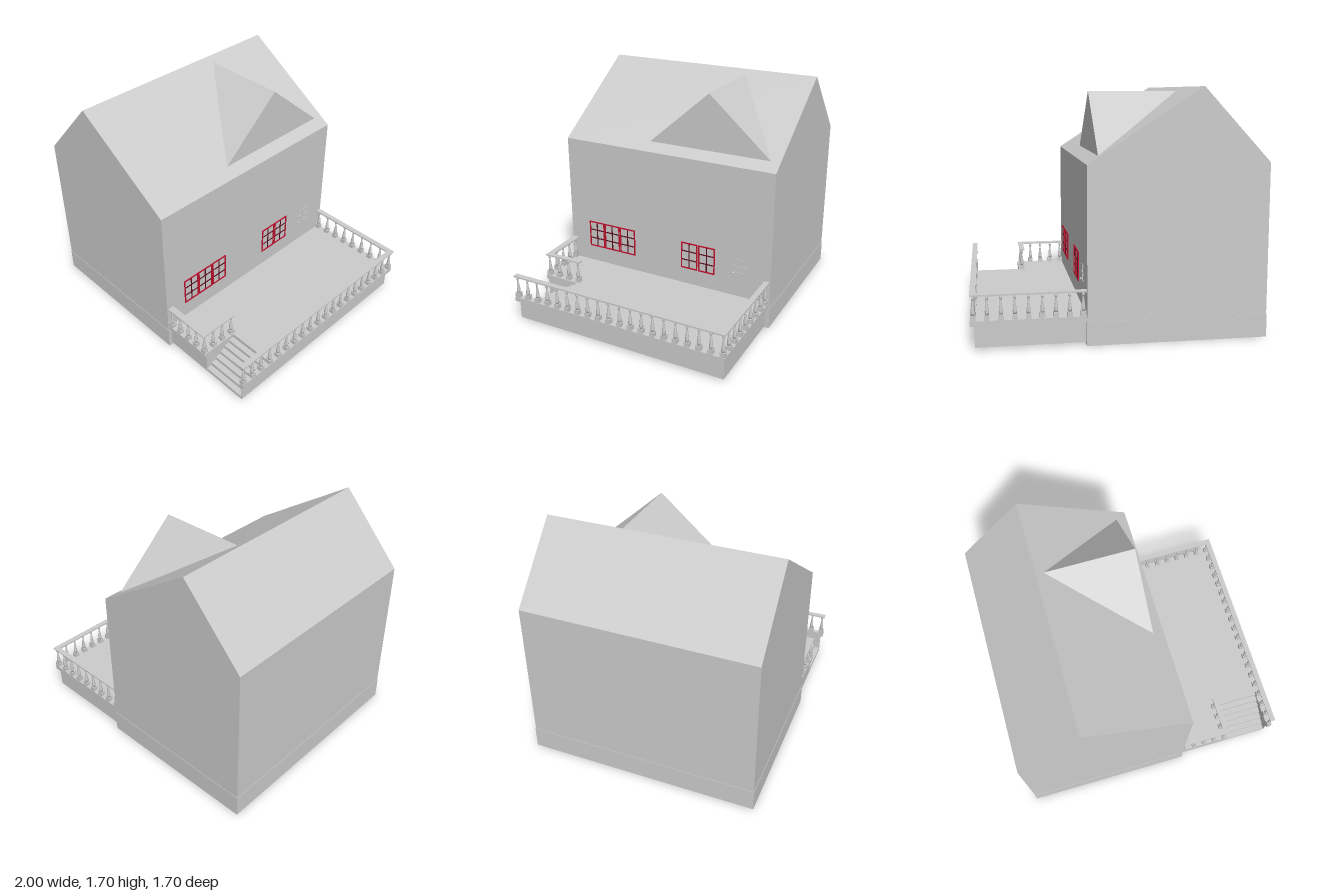
import * as THREE from 'three';
import { ConvexGeometry } from 'three/addons/geometries/ConvexGeometry.js';

const grey = new THREE.MeshStandardMaterial({ color: 0xcccccc, side: THREE.DoubleSide });
const red = new THREE.MeshStandardMaterial({ color: 0xc4102f });
const darkRed = new THREE.MeshStandardMaterial({ color: 0x5c0f20 });

function add(parent, name, geometry, material = grey) {
  const mesh = new THREE.Mesh(geometry, material);
  mesh.name = name;
  parent.add(mesh);
  return mesh;
}

// Box given by its minimum and maximum on each axis
function box(parent, name, [x0, x1], [y0, y1], [z0, z1], material) {
  const mesh = add(parent, name, new THREE.BoxGeometry(x1 - x0, y1 - y0, z1 - z0), material);
  mesh.position.set((x0 + x1) / 2, (y0 + y1) / 2, (z0 + z1) / 2);
  return mesh;
}

function group(parent, name) {
  const g = new THREE.Group();
  g.name = name;
  parent.add(g);
  return g;
}

// Horizontal plate from an (x, z) outline, between two heights
function plate(parent, name, outline, y0, y1) {
  const shape = new THREE.Shape(outline.map(([x, z]) => new THREE.Vector2(x, z)));
  const geo = new THREE.ExtrudeGeometry(shape, { depth: y1 - y0, bevelEnabled: false });
  geo.rotateX(Math.PI / 2).translate(0, y1, 0);
  return add(parent, name, geo);
}

// Terrace outline with the stair notch cut out of its front edge
const terraceOutline = (xMax, zMax, notchX) => [
  [0.23, -zMax], [xMax, -zMax], [xMax, zMax], [notchX, zMax],
  [notchX, 0.56], [0.62, 0.56], [0.62, zMax], [0.23, zMax],
];

const balusterProfile = [
  [0, 0.235], [0.013, 0.235], [0.014, 0.25], [0.012, 0.275], [0.008, 0.305], [0.005, 0.33],
  [0.005, 0.335], [0.01, 0.341], [0.01, 0.351], [0.005, 0.356], [0.007, 0.365], [0, 0.365],
].map(([r, y]) => new THREE.Vector2(r, y));
const balusterGeo = new THREE.LatheGeometry(balusterProfile, 10);
const footGeo = new THREE.BoxGeometry(0.036, 0.037, 0.036).translate(0, 0.2175, 0);

// Row of evenly spaced balusters between two (x, z) points
function balusterRow(parent, [x0, z0], [x1, z1], count) {
  for (let i = 0; i < count; i++) {
    const t = i / (count - 1);
    const b = group(parent, 'baluster');
    b.position.set(x0 + (x1 - x0) * t, 0, z0 + (z1 - z0) * t);
    add(b, 'balusterFoot', footGeo);
    add(b, 'balusterBody', balusterGeo);
  }
}

// One casement: bright frame, dark glazing bars in two columns and three rows
function casement(parent, z0, z1) {
  const w = group(parent, 'window');
  const y0 = 0.327, y1 = 0.54, t = 0.009, x = [0.232, 0.243], xi = [0.232, 0.241];
  for (const z of [z0, z1 - t]) box(w, 'windowStile', x, [y0, y1], [z, z + t], red);
  for (const y of [y0, y1 - t]) box(w, 'windowRail', x, [y, y + t], [z0 + t, z1 - t], red);
  const zc = (z0 + z1) / 2;
  box(w, 'mullion', xi, [y0 + t, y1 - t], [zc - 0.004, zc + 0.004], darkRed);
  for (const k of [1, 2]) {
    const y = y0 + ((y1 - y0) * k) / 3;
    box(w, 'glazingBar', xi, [y - 0.004, y + 0.004], [z0 + t, z1 - t], darkRed);
  }
}

export function createModel() {
  const model = new THREE.Group();
  model.name = 'houseWithTerrace';

  // House body with an off-centre gable roof, on a slightly wider plinth
  const house = group(model, 'house');
  const profile = new THREE.Shape([[-0.997, 0.1], [0.237, 0.1], [0.237, 1.2], [-0.535, 1.7], [-0.997, 1.2]]
    .map(([x, y]) => new THREE.Vector2(x, y)));
  add(house, 'wallsAndRoof', new THREE.ExtrudeGeometry(profile, { depth: 1.696, bevelEnabled: false })
    .translate(0, 0, -0.848));
  box(house, 'plinth', [-1, 0.24], [0, 0.16], [-0.851, 0.851]);

  // Dormer: upright gable whose ridge runs back into the roof
  add(house, 'dormer', new ConvexGeometry([
    new THREE.Vector3(0.155, 1.25, 0.17), new THREE.Vector3(0.155, 1.25, -0.78),
    new THREE.Vector3(0.155, 1.67, -0.305), new THREE.Vector3(-0.48, 1.67, -0.305),
  ]));

  // Windows facing the terrace: a group of three and a group of two
  for (const [z0, z1] of [[0.545, 0.68], [0.407, 0.542], [0.267, 0.402], [-0.267, -0.132], [-0.41, -0.275]]) {
    casement(house, z0, z1);
  }

  // Door bars and knob
  const door = group(house, 'door');
  box(door, 'doorUpright', [0.232, 0.241], [0.39, 0.495], [-0.62, -0.612]);
  for (const y of [0.39, 0.441, 0.492]) box(door, 'doorBar', [0.232, 0.241], [y - 0.004, y + 0.004], [-0.665, -0.567]);
  add(door, 'doorKnob', new THREE.SphereGeometry(0.009, 12, 8)).position.set(0.243, 0.385, -0.56);

  // Terrace base and overhanging slab
  const terrace = group(model, 'terrace');
  plate(terrace, 'terraceBase', terraceOutline(0.97, 0.823, 0.963), 0.018, 0.166);
  plate(terrace, 'terraceSlab', terraceOutline(1, 0.84, 0.963), 0.166, 0.2);

  // Steps descending to the front
  const steps = group(terrace, 'steps');
  for (let i = 0; i < 6; i++) {
    const z = 0.56 + i * 0.0437;
    box(steps, 'step', [0.62, 0.965], [0.018, 0.172 - i * 0.0257], [z, z + 0.0437]);
  }

  // Balustrade around the terrace, returning beside the steps
  const balustrade = group(terrace, 'balustrade');
  balusterRow(balustrade, [0.98, 0.82], [0.98, -0.82], 20);
  balusterRow(balustrade, [0.26, -0.82], [0.89, -0.82], 8);
  balusterRow(balustrade, [0.255, 0.82], [0.595, 0.82], 5);
  balusterRow(balustrade, [0.595, 0.735], [0.595, 0.56], 3);
  const railY = [0.363, 0.374];
  box(balustrade, 'sideHandrail', [0.96, 1], railY, [-0.84, 0.84]);
  box(balustrade, 'backHandrail', [0.235, 0.96], railY, [-0.84, -0.8]);
  box(balustrade, 'frontHandrail', [0.235, 0.575], railY, [0.792, 0.84]);
  box(balustrade, 'returnHandrail', [0.575, 0.612], railY, [0.535, 0.84]);

  return model;
}
